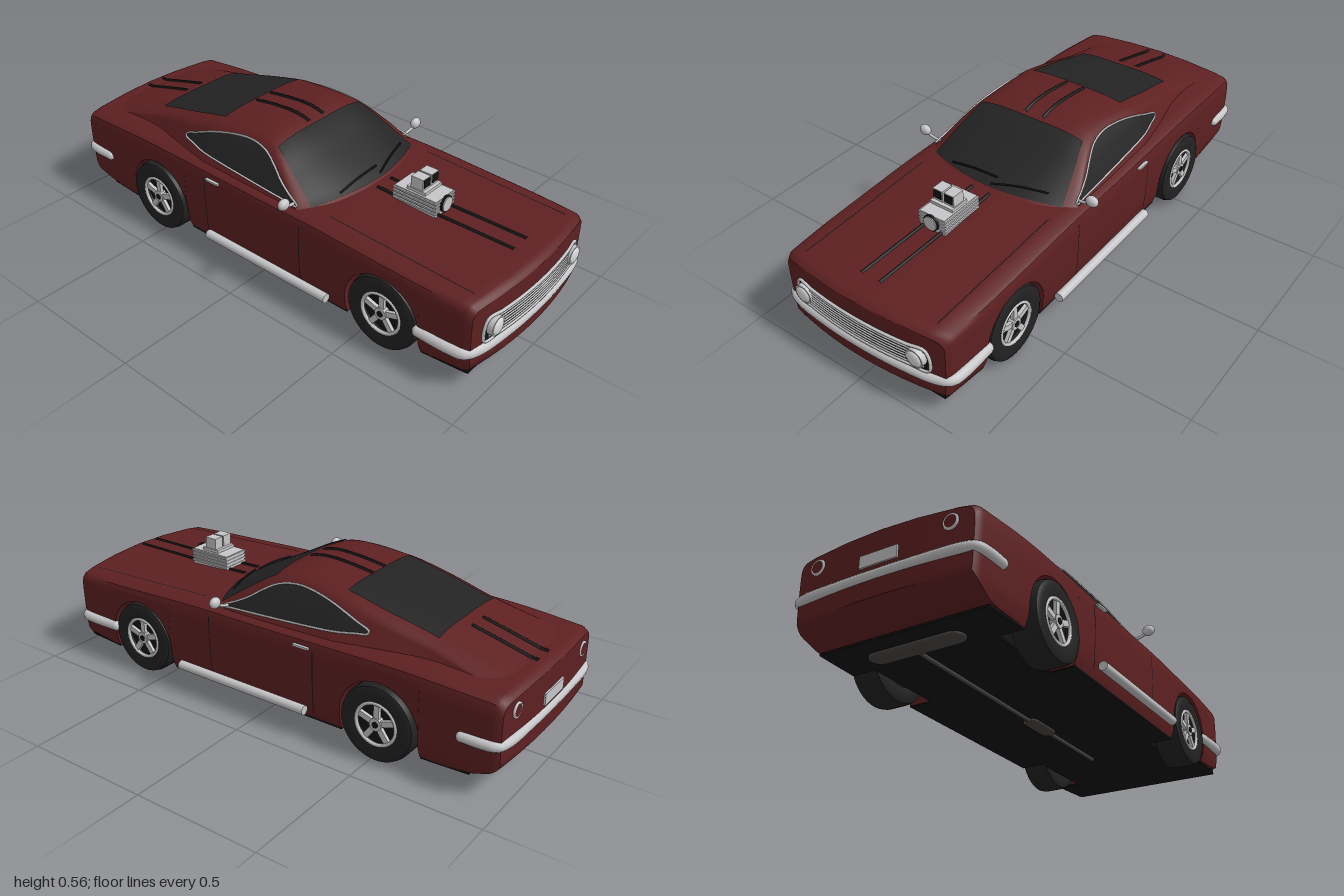
import * as THREE from 'three';
import { toCreasedNormals } from 'three/addons/utils/BufferGeometryUtils.js';

const mat = (name, color, side = THREE.FrontSide) => Object.assign(new THREE.MeshStandardMaterial({ color, side }), { name });
const paint = mat('deep red paint', 0x5e2021);
const glass = mat('dark glass', 0x232324, THREE.DoubleSide);
const black = mat('black trim', 0x141414, THREE.DoubleSide);
const rubber = mat('tyre rubber', 0x222222);
const chrome = mat('chrome', 0xc6c6c8, THREE.DoubleSide);
const lens = mat('lamp lens', 0xdadadc);
const steel = mat('dull steel', 0x4a4643);

const V = (x, y, z) => new THREE.Vector3(x, y, z);
const sat = (t) => Math.min(1, Math.max(0, t));

// Smooth curve through [key, value] pairs with ascending keys
function curve(...p) {
  const slope = (i) => {
    const a = p[Math.max(i - 1, 0)], b = p[Math.min(i + 1, p.length - 1)];
    return (b[1] - a[1]) / (b[0] - a[0]);
  };
  return (k) => {
    if (k <= p[0][0]) return p[0][1];
    if (k >= p[p.length - 1][0]) return p[p.length - 1][1];
    let i = 0;
    while (k > p[i + 1][0]) i++;
    const h = p[i + 1][0] - p[i][0], t = (k - p[i][0]) / h, t2 = t * t, t3 = t2 * t;
    return (2 * t3 - 3 * t2 + 1) * p[i][1] + (t3 - 2 * t2 + t) * h * slope(i)
      + (3 * t2 - 2 * t3) * p[i + 1][1] + (t3 - t2) * h * slope(i + 1);
  };
}

// Grid surface: at(u, v) gives a point for u, v in 0..1
function patch(nu, nv, at) {
  const pos = [], idx = [];
  for (let i = 0; i <= nu; i++) for (let j = 0; j <= nv; j++) pos.push(...at(i / nu, j / nv).toArray());
  for (let i = 0; i < nu; i++) for (let j = 0; j < nv; j++) {
    const a = i * (nv + 1) + j, b = a + nv + 1;
    idx.push(a, b, a + 1, b, b + 1, a + 1);
  }
  const g = new THREE.BufferGeometry();
  g.setAttribute('position', new THREE.Float32BufferAttribute(pos, 3));
  g.setIndex(idx);
  g.computeVertexNormals();
  return g;
}

// Body shape rules
const R = 0.157, AXLE_Y = 0.147, AXLES = [0.6, -0.52];
const belt = curve([-0.97, 0.366], [-0.6, 0.384], [0, 0.376], [0.3, 0.374], [0.6, 0.362], [0.98, 0.348]);
const sill = curve([-0.99, 0.115], [-0.92, 0.085], [-0.84, 0.064], [0.75, 0.062], [0.98, 0.08]);
const bodySide = curve([0.06, 0.345], [0.1, 0.36], [0.2, 0.367], [0.3, 0.369], [0.36, 0.366]);
const taper = curve([-0.98, 0.965], [-0.7, 0.995], [0, 1], [0.7, 1], [0.97, 0.975]);
const noseZ = (x) => 0.987 - 0.04 * (x / 0.36) ** 2;
const tailZ = (x) => -0.987 + 0.02 * (x / 0.36) ** 2;

function lowerEdge(z) {
  for (const a of AXLES) {
    const d = Math.abs(z - a);
    if (d < R) return AXLE_Y + Math.sqrt(R * R - d * d);
  }
  return sill(z);
}
function halfSection(z) {
  const q = sat((Math.abs(z) - 0.955) / 0.032) ** 2;
  const top = belt(z) - 0.015 * q, low = lowerEdge(z) + 0.012 * q, w = taper(z) * (1 - 0.025 * q);
  const pts = [[0, low]];
  for (let i = 0; i <= 8; i++) {
    const y = low + (top - 0.03 - low) * i / 8;
    pts.push([bodySide(y) * w, y]);
  }
  for (const [x, dy] of [[0.361, -0.012], [0.346, -0.002], [0.3, 0.004], [0.15, 0.011], [0, 0.014]]) pts.push([x * w, top + dy]);
  return pts;
}
function bend(x, y, z) {
  const k = sat((Math.abs(z) - 0.7) / 0.28) ** 2;
  return V(x, y, z - (z > 0 ? 0.04 : -0.02) * k * (x / 0.36) ** 2);
}

// Cabin shape rules
const roof = curve([-0.96, 0.37], [-0.8, 0.412], [-0.65, 0.449], [-0.45, 0.497], [-0.28, 0.534], [-0.1, 0.553],
  [0, 0.538], [0.15, 0.465], [0.31, 0.384]);
const cabinSide = curve([0.34, 0.355], [0.38, 0.33], [0.43, 0.302], [0.49, 0.265], [0.53, 0.23], [0.55, 0.19]);
const tuck = curve([-0.95, 0.07], [-0.65, 0.06], [-0.45, 0.022], [-0.3, 0]);
const sideX = (y, z) => cabinSide(y) - tuck(z);
const rake = (x, y, z) => V(x, y, z - 0.07 * sat(z / 0.28) * (x / 0.3) ** 2);
// t runs across the roof from -1 to 1
function roofPoint(z, t, lift = 0) {
  const h = roof(z);
  return rake(t * sideX(h - 0.025, z), h - 0.025 * t ** 4 + lift, z);
}
const deckTop = (z) => Math.max(roof(z), belt(z) + 0.013);

export function createModel() {
  const car = new THREE.Group();
  car.name = 'car';
  const add = (name, geo, material, x = 0, y = 0, z = 0, parent = car) => {
    const m = new THREE.Mesh(geo, material);
    m.name = name;
    m.position.set(x, y, z);
    parent.add(m);
    return m;
  };
  const box = (name, w, h, d, material, x, y, z, parent) => add(name, new THREE.BoxGeometry(w, h, d), material, x, y, z, parent);
  const disc = (name, r, len, material, x, y, z, parent) =>
    add(name, new THREE.CylinderGeometry(r, r, len, 24).rotateX(Math.PI / 2), material, x, y, z, parent);
  const tube = (name, pts, r, material, closed = false, sides = 8) =>
    add(name, new THREE.TubeGeometry(new THREE.CatmullRomCurve3(pts, closed, 'centripetal'), pts.length * 6, r, sides, closed), material);

  // Body shell with cut wheel arches
  const zs = [0.987, 0.984, 0.977, 0.967, 0.955];
  for (let z = 0.92; z > -0.95; z -= 0.06) if (AXLES.every((a) => Math.abs(z - a) > R + 0.005)) zs.push(z);
  for (const a of AXLES) {
    zs.push(a + R + 0.0005, a - R - 0.0005);
    for (let i = 0; i <= 20; i++) zs.push(a + (R - 0.0001) * Math.cos(Math.PI * i / 20));
  }
  zs.push(-0.955, -0.967, -0.977, -0.984, -0.987);
  zs.sort((a, b) => b - a);
  const rings = zs.map((z) => {
    const half = halfSection(z);
    return [...half, ...half.slice(0, -1).reverse().map(([x, y]) => [-x, y])].map(([x, y]) => bend(x, y, z));
  });
  const nv = rings[0].length - 1;
  add('bodyShell', toCreasedNormals(patch(zs.length - 1, nv, (u, v) => rings[Math.round(u * (zs.length - 1))][Math.round(v * nv)]), 0.6), paint);
  for (const s of [1, -1]) {
    const z = 0.987 * s, half = halfSection(z), n = half.length - 1;
    add(s > 0 ? 'nosePanel' : 'tailPanel', patch(16, n, (u, v) => {
      const [x, y] = half[Math.round(v * n)];
      return bend(s * x * (2 * u - 1), y, z);
    }), paint);
  }

  // Cabin
  add('cabin', patch(60, 44, (u, v) => {
    const z = 0.31 - 1.27 * u, s = 2.4 * (0.5 - v) * 2, t = Math.max(-1, Math.min(1, s / 1.4));
    const p = roofPoint(z, t), over = sat(Math.abs(s) - 1.4);
    if (over === 0) return p;
    const edge = roof(z) - 0.025, y = edge + (0.335 - edge) * over;
    return rake(Math.sign(s) * sideX(y, z), y, z);
  }), paint);
  add('windscreen', patch(20, 24, (u, v) => roofPoint(0.298 - 0.285 * u, (0.87 + 0.05 * u) * (1 - 2 * v), 0.005)), glass);
  add('rearWindow', patch(20, 20, (u, v) => roofPoint(-0.285 - 0.365 * u, 0.82 * (1 - 2 * v), 0.005)), glass);

  // Side windows with bright surrounds
  const winTop = curve([-0.425, 0.437], [-0.3, 0.484], [-0.2, 0.507], [-0.1, 0.516], [-0.02, 0.503], [0.04, 0.472], [0.1, 0.432], [0.19, 0.39]);
  const winLow = curve([-0.425, 0.428], [-0.3, 0.412], [0, 0.394], [0.19, 0.386]);
  for (const s of [1, -1]) {
    const at = (z, k, out) => {
      const y = winLow(z) + (winTop(z) - winLow(z)) * k;
      return V(s * (sideX(y, z) + out), y, z);
    };
    add('sideWindow', patch(30, 8, (u, v) => at(0.19 - 0.615 * u, v, 0.005)), glass);
    const rim = [];
    for (let i = 0; i <= 12; i++) rim.push(at(0.19 - 0.615 * i / 12, 1, 0.005));
    for (let i = 12; i >= 0; i--) rim.push(at(0.19 - 0.615 * i / 12, 0, 0.005));
    tube('windowTrim', rim, 0.004, chrome, true, 6);

    // Panel gaps
    for (const z of [0.23, -0.25]) add('doorGap', patch(12, 1, (u, v) => {
      const y = 0.09 + 0.25 * u;
      return V(s * (bodySide(y) + 0.002), y, z + 0.004 * v);
    }), black);
    add('bonnetGap', patch(20, 1, (u, v) => {
      const z = 0.93 - 0.62 * u;
      return V(s * (0.29 + 0.004 * v), belt(z) + 0.0065, z - 0.03 * sat((z - 0.7) / 0.28) ** 2);
    }), black);

    // Twin stripes
    for (const [a, b] of [[0.9, 0.325], [-0.005, -0.28], [-0.69, -0.94]])
      add('stripe', patch(20, 4, (u, v) => {
        const z = a + (b - a) * u;
        return V(s * 0.04 + 0.007 * (1 - 2 * v), deckTop(z) + (v % 1 ? 0.006 : 0), z);
      }), black);

    // Door mirror, handle, side pipe and wiper
    tube('mirrorArm', [V(s * 0.315, 0.39, 0.17), V(s * 0.35, 0.397, 0.175), V(s * 0.382, 0.413, 0.18)], 0.006, chrome);
    add('mirror', new THREE.SphereGeometry(0.022, 20, 14).scale(1.15, 1, 0.8), chrome, s * 0.387, 0.42, 0.18);
    box('doorHandle', 0.012, 0.008, 0.065, chrome, s * 0.374, 0.348, -0.2);
    disc('sidePipe', 0.018, 0.6, chrome, s * 0.385, 0.105, 0.075);
    const wipe = (x, z) => roofPoint(z, x / sideX(roof(z) - 0.025, z), 0.011);
    tube('wiper', [wipe(s * 0.1 - 0.08, 0.29), wipe(s * 0.1 + 0.02, 0.268), wipe(s * 0.1 + 0.13, 0.262)], 0.004, black, false, 5);

    // Headlamp
    disc('headlampRim', 0.037, 0.03, chrome, s * 0.25, 0.237, 0.972);
    add('headlampLens', new THREE.SphereGeometry(0.032, 20, 12).scale(1, 1, 0.3), lens, s * 0.25, 0.237, 0.986);
    // Round tail lamp
    add('tailLampRing', new THREE.TorusGeometry(0.025, 0.005, 8, 24), chrome, s * 0.265, 0.31, tailZ(0.265) - 0.002);
    disc('tailLamp', 0.023, 0.008, paint, s * 0.265, 0.31, tailZ(0.265) - 0.002);
  }

  // Grille
  add('grilleBack', patch(20, 1, (u, v) => V(0.58 * (u - 0.5), 0.187 + 0.085 * v, noseZ(0.58 * (u - 0.5)) + 0.003)), black);
  const across = (w, y, out) => Array.from({ length: 9 }, (_, i) => {
    const x = w * (i / 4 - 1);
    return V(x, y, noseZ(x) + out);
  });
  for (let i = 0; i < 6; i++) tube('grilleSlat', across(0.275, 0.199 + i * 0.0125, 0.004), 0.0035, chrome, false, 6);
  tube('grilleFrame', [...across(0.282, 0.274, 0.003), ...across(0.292, 0.187, 0.003).reverse()], 0.006, chrome, true);

  // Wraparound bumpers
  const bumper = (name, y, r, pts) => {
    const path = [...pts.map(([x, z]) => V(x, y, z)), ...pts.slice(0, -1).reverse().map(([x, z]) => V(-x, y, z))];
    tube(name, path, r, chrome, false, 12);
    for (const p of [path[0], path[path.length - 1]]) add(name + 'End', new THREE.SphereGeometry(r, 12, 8), chrome, p.x, p.y, p.z);
  };
  bumper('frontBumper', 0.158, 0.021, [[0.362, 0.755], [0.364, 0.88], [0.355, 0.93], [0.31, 0.953], [0.16, 0.973], [0, 0.979]]);
  bumper('rearBumper', 0.207, 0.019, [[0.36, -0.835], [0.36, -0.91], [0.35, -0.955], [0.31, -0.971], [0.16, -0.979], [0, -0.981]]);
  box('numberPlate', 0.15, 0.045, 0.008, chrome, 0, 0.262, -0.989);

  // Supercharger through the bonnet
  const blower = new THREE.Group();
  blower.name = 'supercharger';
  car.add(blower);
  box('blowerCase', 0.11, 0.065, 0.18, chrome, 0, 0.408, 0.5, blower);
  for (let i = 0; i < 4; i++) box('blowerRib', 0.122, 0.007, 0.185, chrome, 0, 0.392 + i * 0.014, 0.5, blower);
  disc('pulleyEdge', 0.032, 0.01, black, 0, 0.413, 0.595, blower);
  disc('pulley', 0.028, 0.016, chrome, 0, 0.413, 0.596, blower);
  box('intakeBase', 0.1, 0.012, 0.08, chrome, 0, 0.449, 0.5, blower);
  for (const s of [1, -1]) {
    box('intake', 0.043, 0.05, 0.052, chrome, s * 0.025, 0.475, 0.5, blower);
    box('intakeMouth', 0.033, 0.032, 0.004, black, s * 0.025, 0.481, 0.527, blower);
  }

  // Wheels, turned so the rim faces outward
  const tyreProfile = [[0.084, -0.055], [0.125, -0.06], [0.142, -0.052], [0.147, -0.035], [0.147, 0.035], [0.142, 0.052], [0.125, 0.06], [0.084, 0.052], [0.084, 0.02]];
  for (const [i, z] of AXLES.entries()) for (const s of [1, -1]) {
    const wheel = new THREE.Group();
    wheel.name = i ? 'rearWheel' : 'frontWheel';
    wheel.position.set(s * (i ? 0.325 : 0.312), AXLE_Y, z);
    wheel.rotation.y = s * Math.PI / 2;
    car.add(wheel);
    const tyre = new THREE.LatheGeometry(tyreProfile.map(([r, y]) => new THREE.Vector2(r, y)), 40).rotateX(Math.PI / 2);
    add('tyre', toCreasedNormals(tyre, 0.7), rubber, 0, 0, 0, wheel);
    disc('rimRecess', 0.086, 0.07, black, 0, 0, -0.005, wheel);
    add('rimRing', new THREE.TorusGeometry(0.08, 0.007, 8, 32), chrome, 0, 0, 0.05, wheel);
    disc('hub', 0.024, 0.025, chrome, 0, 0, 0.043, wheel);
    disc('hubCap', 0.012, 0.006, black, 0, 0, 0.055, wheel);
    for (let k = 0; k < 5; k++)
      add('spoke', new THREE.BoxGeometry(0.022, 0.062, 0.014).translate(0, 0.049, 0), chrome, 0, 0, 0.044, wheel).rotation.z = k * Math.PI * 0.4;
  }

  // Floor pan notched around the wheels
  const edge = [[0.33, 0.93], [0.345, 0.76], [0.25, 0.76], [0.25, 0.44], [0.347, 0.44], [0.347, -0.36], [0.25, -0.36], [0.25, -0.68], [0.345, -0.68], [0.335, -0.86]];
  const outline = [...edge, ...edge.slice().reverse().map(([x, z]) => [-x, z])].map(([x, z]) => new THREE.Vector2(x, -z));
  add('floorPan', new THREE.ExtrudeGeometry(new THREE.Shape(outline), { depth: 0.008, bevelEnabled: false }).rotateX(-Math.PI / 2), black, 0, 0.056, 0);
  for (const z of AXLES) box('innerWheelHousing', 0.49, 0.24, 0.33, black, 0, 0.18, z);
  box('frontLip', 0.66, 0.024, 0.03, black, 0, 0.07, 0.925);

  // Exhaust under the floor
  disc('exhaustPipe', 0.008, 1.22, steel, 0.03, 0.05, -0.13);
  add('middleSilencer', new THREE.CapsuleGeometry(0.03, 0.12, 6, 14).rotateX(Math.PI / 2).scale(1.1, 0.4, 1), steel, 0.035, 0.053, 0.05);
  add('rearSilencer', new THREE.CapsuleGeometry(0.04, 0.3, 6, 14).rotateZ(Math.PI / 2).scale(1, 0.35, 1), steel, 0.02, 0.053, -0.75);
  return car;
}
